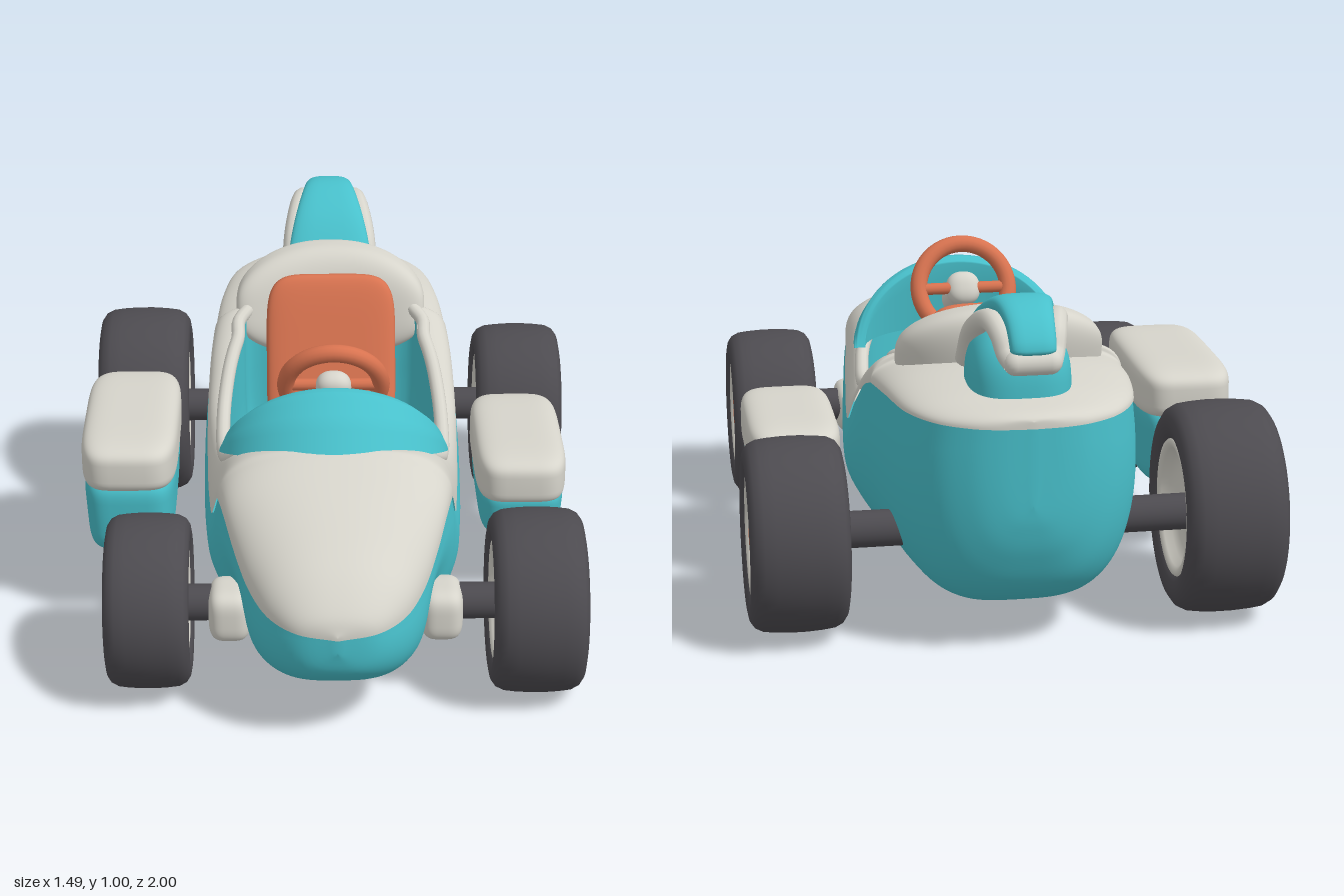
import * as THREE from 'three';
import { mergeVertices, mergeGeometries } from 'three/addons/utils/BufferGeometryUtils.js';
import { RoundedBoxGeometry } from 'three/addons/geometries/RoundedBoxGeometry.js';
import { ParametricGeometry } from 'three/addons/geometries/ParametricGeometry.js';

const mat = (name, color, side = THREE.FrontSide) => {
  const m = new THREE.MeshStandardMaterial({ color, side });
  m.name = name;
  return m;
};
const teal = mat('teal', 0x48c0cb, THREE.DoubleSide);
const cream = mat('cream', 0xd6d4cb, THREE.DoubleSide);
const dark = mat('tyre grey', 0x4d4b50);
const orange = mat('orange', 0xd87350);

// Hull stations from nose to tail: z, half width, keel y, seam y, top y, cockpit half width
const STATIONS = [
  [1.0, 0, 0.33, 0.37, 0.38, 0],
  [0.975, 0.115, 0.25, 0.378, 0.435, 0],
  [0.9, 0.2, 0.185, 0.388, 0.505, 0],
  [0.8, 0.258, 0.14, 0.42, 0.565, 0],
  [0.7, 0.3, 0.12, 0.48, 0.62, 0],
  [0.6, 0.333, 0.105, 0.54, 0.665, 0],
  [0.52, 0.352, 0.095, 0.55, 0.695, 0],
  [0.48, 0.358, 0.092, 0.53, 0.685, 0.13],
  [0.4, 0.37, 0.088, 0.46, 0.645, 0.22],
  [0.3, 0.382, 0.083, 0.39, 0.58, 0.28],
  [0.2, 0.391, 0.08, 0.37, 0.535, 0.3],
  [0.08, 0.4, 0.076, 0.4, 0.52, 0.31],
  [-0.08, 0.404, 0.075, 0.49, 0.56, 0.31],
  [-0.2, 0.402, 0.077, 0.56, 0.635, 0.295],
  [-0.3, 0.396, 0.08, 0.62, 0.695, 0.27],
  [-0.4, 0.387, 0.086, 0.655, 0.745, 0.24],
  [-0.43, 0.383, 0.09, 0.66, 0.75, 0],
  [-0.6, 0.367, 0.1, 0.68, 0.76, 0],
  [-0.78, 0.332, 0.125, 0.685, 0.75, 0],
  [-0.89, 0.265, 0.2, 0.685, 0.735, 0],
  [-0.95, 0.18, 0.31, 0.685, 0.725, 0],
  [-0.976, 0.1, 0.4, 0.685, 0.715, 0],
  [-0.985, 0, 0.47, 0.685, 0.705, 0],
];
const LAST = STATIONS.length - 1, COCKPIT = [6, 16];
const spline = new THREE.CubicInterpolant(STATIONS.map((_, i) => i), new Float32Array(STATIONS.flat()), 6);
const station = (t) => {
  const [z, w, keel, seam, top, open] = spline.evaluate(t);
  return { z, w: Math.max(0, w), keel, seam, top, open: Math.max(0, open) };
};
const pw = (v, e) => Math.sign(v) * Math.pow(Math.abs(v), e);
const TUCK = 0.07; // how far the hull leans in at the seam

function smooth(geo) {
  geo.deleteAttribute('uv');
  geo.deleteAttribute('normal');
  const g = mergeVertices(geo, 1e-4);
  g.computeVertexNormals();
  return g;
}
const surface = (fn, nu, nv) => new ParametricGeometry(fn, nu, nv);
function warp(geo, fn) {
  const p = geo.attributes.position, v = new THREE.Vector3();
  for (let i = 0; i < p.count; i++) {
    fn(v.fromBufferAttribute(p, i));
    p.setXYZ(i, v.x, v.y, v.z);
  }
  return smooth(geo);
}
function add(parent, name, geo, material, x = 0, y = 0, z = 0) {
  const m = new THREE.Mesh(geo, material);
  m.name = name;
  m.position.set(x, y, z);
  parent.add(m);
  return m;
}
// Rounded superellipsoid: small e is boxy, e = 1 is an ellipsoid
const blob = (rx, ry, rz, e) => warp(new THREE.SphereGeometry(1, 64, 40), (v) => {
  const c = Math.hypot(v.x, v.z), k = c > 1e-6 ? pw(c, e) : 0, n = c || 1;
  v.set(rx * k * pw(v.x / n, e), ry * pw(v.y, e), rz * k * pw(v.z / n, e));
});
const tube = (pts, r, n = 48) => new THREE.TubeGeometry(
  new THREE.CatmullRomCurve3(pts.map((p) => new THREE.Vector3(...p))), n, r, 12);

function buildBody(g) {
  // Lower hull, leaning in at the seam and pinched around the front axle
  add(g, 'lowerHull', smooth(surface((u, v, out) => {
    const s = station((1 - v) * LAST), a = (u - 0.5) * Math.PI;
    const drop = pw(Math.max(0, Math.cos(a)), 0.67);
    const y = s.seam - (s.seam - s.keel) * drop;
    const pinch = 0.16 * Math.exp(-(((s.z - 0.65) / 0.1) ** 2) - ((y - 0.26) / 0.13) ** 2);
    out.set(s.w * pw(Math.sin(a), 0.62) * (1 - pinch - TUCK * (1 - drop) ** 3), y, s.z);
  }, 56, 132)), teal);
  // Bonnet, cockpit sides and rear deck, one half per side
  const half = (side) => surface((u, v, out) => {
    const s = station(v * LAST), a = (side > 0 ? 1 - u : u) * Math.PI / 2;
    const outer = s.w * (1 - TUCK) + 0.004 * Math.min(1, s.w * 10), inner = Math.min(s.open, outer);
    const c = Math.max(0, Math.cos(a));
    out.set(side * (inner + (outer - inner) * (c < 1e-6 ? 0 : pw(c, 0.88))),
      s.seam + (s.top - s.seam) * pw(Math.sin(a), 0.88), s.z);
  }, 20, 132);
  add(g, 'upperBody', smooth(mergeGeometries([half(-1), half(1)])), cream);
  // Cockpit tub
  add(g, 'cockpitTub', smooth(surface((u, v, out) => {
    const s = station(COCKPIT[0] + v * (COCKPIT[1] - COCKPIT[0])), a = (1 - u) * Math.PI;
    out.set(s.open * pw(Math.cos(a), 0.25), s.top - (s.top - 0.27) * pw(Math.max(0, Math.sin(a)), 0.3), s.z);
  }, 48, 60)), teal);
  // Rolled lip along the cockpit edge
  for (const side of [-1, 1]) {
    const pts = [];
    for (let t = 8.5; t <= 15; t += 0.5) {
      const s = station(t);
      pts.push([side * (s.open + 0.018), s.top - 0.008, s.z]);
    }
    add(g, 'cockpitLip', tube(pts, 0.021), cream);
  }
  // Wraparound windshield: outer face, top edge, inner face
  const profile = [[0.285, 0.115, 0.335], [0.215, 0.195, 0.333], [0.135, 0.25, 0.325], [0.11, 0.252, 0.312],
    [0.09, 0.235, 0.3], [0.11, 0.03, 0.3]];
  add(g, 'windshield', smooth(surface((u, v, out) => {
    const f = v * (profile.length - 1), i = Math.min(profile.length - 2, Math.floor(f));
    const [dz, dy, wx] = profile[i].map((p, k) => p + (profile[i + 1][k] - p) * (f - i));
    const a = (u - 0.5) * Math.PI;
    out.set(wx * Math.sin(a), 0.57 + dy * Math.cos(a), 0.25 + dz * Math.cos(a));
  }, 40, 20)), teal);
  // Headrest hump, curving forward and down at its ends
  add(g, 'headrest', warp(blob(0.295, 0.17, 0.088, 0.65), (v) => {
    v.z += 0.8 * v.x * v.x - 0.22 * v.y;
    v.y *= 1 - 3 * v.x * v.x;
  }), cream, 0, 0.735, -0.5);
}

function buildSeat(g) {
  const seat = new THREE.Group();
  seat.name = 'seat';
  const pad = (name, geo, y, z, tilt) => {
    add(seat, name, geo, orange, 0, y, z).rotation.x = tilt;
  };
  pad('seatBack', blob(0.2, 0.265, 0.052, 0.38), 0.61, -0.3, -0.36);
  pad('seatCushionRear', new RoundedBoxGeometry(0.4, 0.13, 0.25, 5, 0.055), 0.36, -0.11, 0.06);
  pad('seatCushionFront', new RoundedBoxGeometry(0.4, 0.15, 0.23, 5, 0.06), 0.35, 0.09, 0.12);
  g.add(seat);
}

function buildSteering(g) {
  const s = new THREE.Group();
  s.name = 'steeringWheel';
  s.position.set(0, 0.76, 0.205);
  s.rotation.x = 0.435;
  add(s, 'steeringRim', new THREE.TorusGeometry(0.138, 0.026, 14, 48), orange);
  add(s, 'steeringSpoke', new THREE.CapsuleGeometry(0.018, 0.24, 4, 12), orange).rotation.z = Math.PI / 2;
  add(s, 'steeringHub', blob(0.052, 0.052, 0.04, 0.85), cream, 0, 0, 0.01);
  add(s, 'steeringColumn', new THREE.CylinderGeometry(0.05, 0.032, 0.2, 20), cream, 0, 0, 0.11).rotation.x = Math.PI / 2;
  g.add(s);
}

function buildTailFin(g) {
  // Curling ribbon with cream trim along each edge and a rounded base
  const path = new THREE.CatmullRomCurve3([[0.135, 0.76, -0.55], [0.128, 0.85, -0.615], [0.108, 0.93, -0.695],
    [0.08, 0.98, -0.81], [0.066, 0.958, -0.91], [0.062, 0.91, -0.96], [0.06, 0.88, -0.968]]
    .map((p) => new THREE.Vector3(...p)));
  add(g, 'tailFin', smooth(surface((u, v, out) => {
    const p = path.getPoint(v), d = path.getTangent(v), a = u * Math.PI * 2;
    const len = Math.hypot(d.y, d.z), end = Math.sqrt(Math.max(0, 1 - Math.max(0, v * 12 - 11) ** 2));
    const h = 0.028 * end * pw(Math.sin(a), 0.8);
    out.set(p.x * end * pw(Math.cos(a), 0.6), p.y - h * d.z / len, p.z + h * d.y / len);
  }, 32, 48)), teal);
  add(g, 'tailFinBase', blob(0.142, 0.165, 0.142, 0.72), teal, 0, 0.74, -0.735);
  const edge = [[0.122, 0.775, -0.605], [0.116, 0.865, -0.67], [0.103, 0.92, -0.75], [0.088, 0.942, -0.83],
    [0.073, 0.92, -0.897], [0.062, 0.878, -0.93], [0.05, 0.86, -0.962]];
  for (const s of [-1, 1]) add(g, 'finTrim', tube(edge.map(([x, y, z]) => [s * x, y, z]), 0.03), cream);
  add(g, 'finTrimEnd', new THREE.CapsuleGeometry(0.034, 0.09, 8, 20), cream, 0, 0.862, -0.962).rotation.z = Math.PI / 2;
}

// Wheel built around its own axis, then turned outwards
function buildWheel(g, name, x, y, z, ry, rz, w) {
  const wheel = new THREE.Group(), s = Math.sign(x);
  wheel.name = name;
  const lathe = (pts) => new THREE.LatheGeometry(pts.map(([r, h]) => new THREE.Vector2(r * ry, h * w)), 56);
  const sym = (pts) => [...pts.map(([r, h]) => [r, -h]), ...pts.slice().reverse()];
  add(wheel, 'tyre', lathe(sym([[0.6, 0.36], [0.63, 0.43], [0.7, 0.48], [0.79, 0.5], [0.87, 0.485],
    [0.935, 0.44], [0.975, 0.36], [0.99, 0.24], [1, 0.08]])), dark);
  add(wheel, 'rim', lathe(sym([[0, 0.3], [0.3, 0.3], [0.44, 0.31], [0.52, 0.36], [0.56, 0.43], [0.6, 0.46],
    [0.64, 0.46], [0.67, 0.42]])), cream);
  add(wheel, 'hubCap', new THREE.CylinderGeometry(0.053, 0.057, 0.16 * w, 24), orange, 0, 0.37 * w, 0);
  wheel.rotation.z = -s * Math.PI / 2;
  wheel.position.set(x, y, z);
  wheel.scale.z = rz / ry;
  g.add(wheel);
}

function buildAxle(g, z, y, inner, outer) {
  for (const s of [-1, 1]) {
    add(g, 'axle', new THREE.CylinderGeometry(0.052, 0.052, outer - inner, 24), dark,
      s * (inner + outer) / 2, y, z).rotation.z = Math.PI / 2;
  }
}

function buildPod(g, x, z, w, d, bottom, split, top) {
  const pod = new THREE.Group();
  pod.name = 'sidePod';
  const hu = top - split + 0.02, hl = split - bottom + 0.04;
  add(pod, 'podTop', blob(w / 2, hu / 2, d / 2, 0.43), cream, x, top - hu / 2, z);
  // Underside narrows downwards
  add(pod, 'podBottom', warp(blob(w / 2 - 0.003, hl / 2, d / 2 - 0.005, 0.38), (v) => {
    const f = 0.5 - v.y / hl;
    v.x *= 1 - 0.1 * f;
    v.z *= 1 - 0.06 * f;
  }), teal, x, bottom + hl / 2, z);
  g.add(pod);
}

export function createModel() {
  const g = new THREE.Group();
  g.name = 'kart';
  buildBody(g);
  buildSeat(g);
  buildSteering(g);
  buildTailFin(g);

  buildWheel(g, 'frontLeftWheel', 0.57, 0.268, 0.605, 0.264, 0.264, 0.265);
  buildWheel(g, 'frontRightWheel', -0.53, 0.265, 0.59, 0.25, 0.25, 0.24);
  buildWheel(g, 'rearLeftWheel', 0.605, 0.293, -0.615, 0.275, 0.256, 0.275);
  buildWheel(g, 'rearRightWheel', -0.597, 0.317, -0.637, 0.303, 0.285, 0.29);
  buildAxle(g, 0.62, 0.275, 0.25, 0.55);
  buildAxle(g, -0.625, 0.3, 0.25, 0.56);
  // Cream cuffs where the front axle leaves the hull
  for (const s of [-1, 1]) {
    add(g, 'axleCuff', blob(0.06, 0.078, 0.085, 0.55), cream, s * 0.3, 0.265, 0.64);
  }

  buildPod(g, 0.567, -0.07, 0.272, 0.54, 0.22, 0.355, 0.495);
  buildPod(g, -0.602, 0.015, 0.284, 0.61, 0.235, 0.465, 0.605);
  return g;
}
